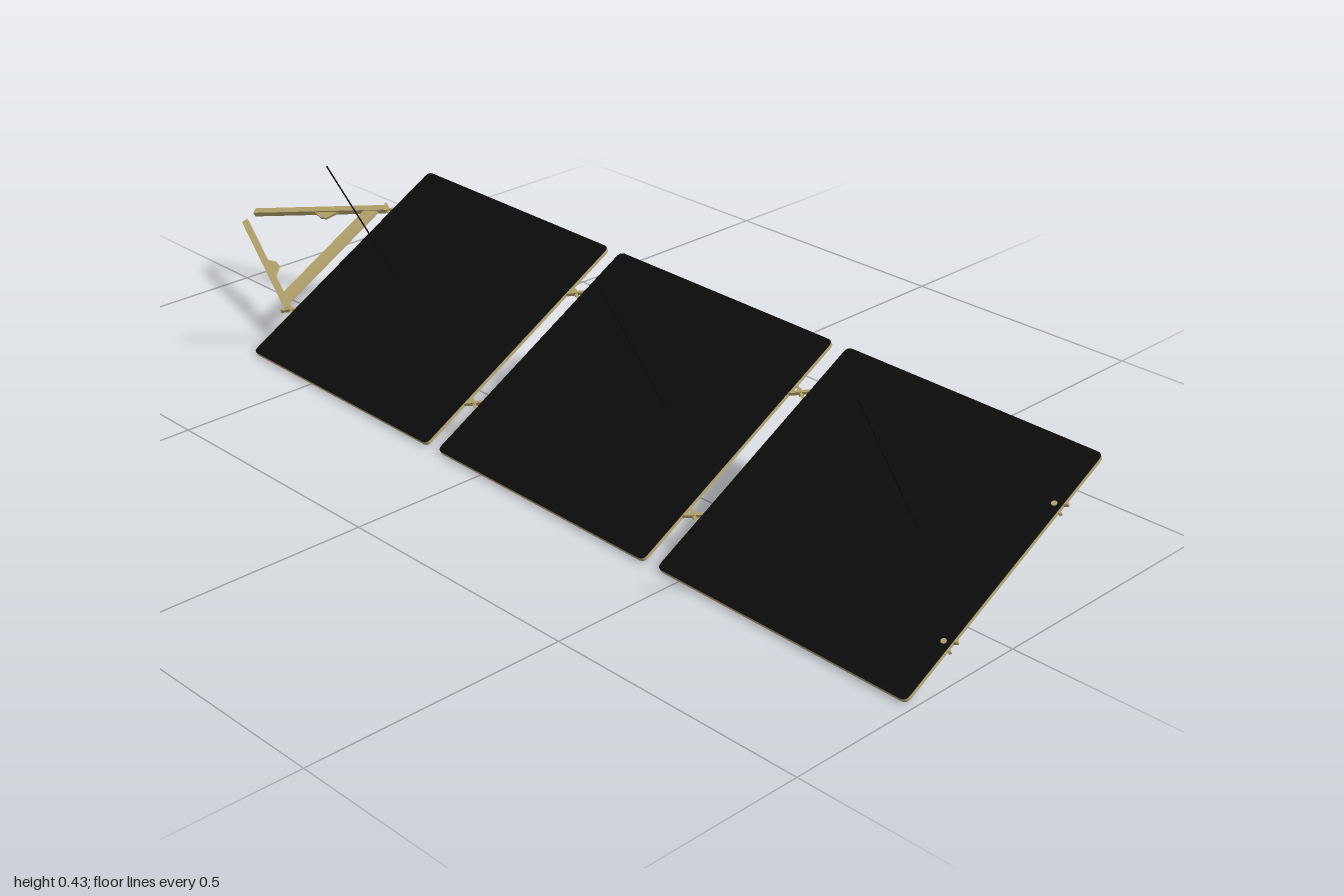
import * as THREE from 'three';

const tan = new THREE.MeshStandardMaterial({ color: 0xbfae74 });
const grey = new THREE.MeshStandardMaterial({ color: 0x606060 });
const black = new THREE.MeshStandardMaterial({ color: 0x0d0d0d });

const PANEL_W = 0.52, PANEL_L = 0.535, THICK = 0.007;
const HINGE_X = 0.145;

function add(parent, name, geometry, material, x = 0, y = 0, z = 0) {
  const mesh = new THREE.Mesh(geometry, material);
  mesh.name = name;
  mesh.position.set(x, y, z);
  parent.add(mesh);
  return mesh;
}

// Flat bar between two points [x, z] of the wing plane
function bar(parent, name, a, b, width, height) {
  const dx = b[0] - a[0], dz = b[1] - a[1];
  const mesh = add(parent, name, new THREE.BoxGeometry(width, height, Math.hypot(dx, dz)), tan,
    (a[0] + b[0]) / 2, 0, (a[1] + b[1]) / 2);
  mesh.rotation.y = Math.atan2(dx, dz);
  return mesh;
}

// Flat plate lying in the wing plane, centred on its thickness
function plate(shape, depth) {
  return new THREE.ExtrudeGeometry(shape, { depth, bevelEnabled: false, curveSegments: 4 })
    .translate(0, 0, -depth / 2).rotateX(-Math.PI / 2);
}

function panelShape() {
  const w = PANEL_W / 2, l = PANEL_L / 2, c = 0.012;
  const s = new THREE.Shape();
  s.moveTo(-w + c, -l);
  s.lineTo(w - c, -l);
  s.quadraticCurveTo(w, -l, w, -l + c);
  s.lineTo(w, l - c);
  s.quadraticCurveTo(w, l, w - c, l);
  s.lineTo(-w + c, l);
  s.quadraticCurveTo(-w, l, -w, l - c);
  s.lineTo(-w, -l + c);
  s.quadraticCurveTo(-w, -l, -w + c, -l);
  return s;
}

function makePanel(z, rodOffset, rodLength) {
  const panel = new THREE.Group();
  panel.name = 'solarPanel';
  panel.position.z = z;
  const shape = panelShape();
  // Grey backing with a tan rim, dark cells on top
  add(panel, 'panelBacking', plate(shape, THICK), [grey, tan]);
  add(panel, 'solarCells', new THREE.ShapeGeometry(shape, 4).rotateX(-Math.PI / 2), black, 0, THICK / 2 + 0.0006, 0);
  // Thin rod standing square to the panel
  add(panel, 'rod', new THREE.CylinderGeometry(0.0014, 0.0014, rodLength, 6), black, 0.006, rodLength / 2, rodOffset);
  return panel;
}

// Crossed links with a pin between them
function makeHinge(x, z) {
  const hinge = new THREE.Group();
  hinge.name = 'hinge';
  hinge.position.set(x, 0, z);
  for (const s of [-1, 1]) bar(hinge, 'hingeLink', [-0.011 * s, -0.019], [0.011 * s, 0.019], 0.005, 0.007);
  add(hinge, 'hingePin', new THREE.CylinderGeometry(0.005, 0.005, 0.012, 8), tan);
  return hinge;
}

function makeYoke() {
  const yoke = new THREE.Group();
  yoke.name = 'yoke';
  add(yoke, 'crossBar', new THREE.BoxGeometry(0.265, 0.008, 0.03), tan, 0, 0, -0.728);
  for (const s of [-1, 1]) {
    bar(yoke, 'yokeLeg', [0.145 * s, -0.70], [0.015 * s, -0.998], 0.013, 0.011);
    // Gusset on the inner side of the leg
    const g = new THREE.Shape([[0.103, 0.795], [0.07, 0.815], [0.066, 0.83], [0.073, 0.865]]
      .map(([x, y]) => new THREE.Vector2(x * s, y)));
    add(yoke, 'gusset', plate(g, 0.005), tan);
  }
  return yoke;
}

export function createModel() {
  const model = new THREE.Group();
  model.name = 'solarArray';
  // Slight turn about the vertical, then the tilt of the wing
  const turn = new THREE.Group();
  turn.name = 'turnedArray';
  turn.rotation.y = -0.017;
  turn.position.y = 0.1335;
  model.add(turn);
  const wing = new THREE.Group();
  wing.name = 'tiltedWing';
  wing.rotation.z = Math.PI / 6;
  turn.add(wing);

  wing.add(makePanel(0.723, 0.087, 0.326), makePanel(0.155, 0.087, 0.326), makePanel(-0.412, -0.087, 0.336));
  for (const z of [0.977, 0.439, -0.129, -0.692])
    for (const s of [-1, 1]) wing.add(makeHinge(HINGE_X * s, z));
  wing.add(makeYoke());
  return model;
}
